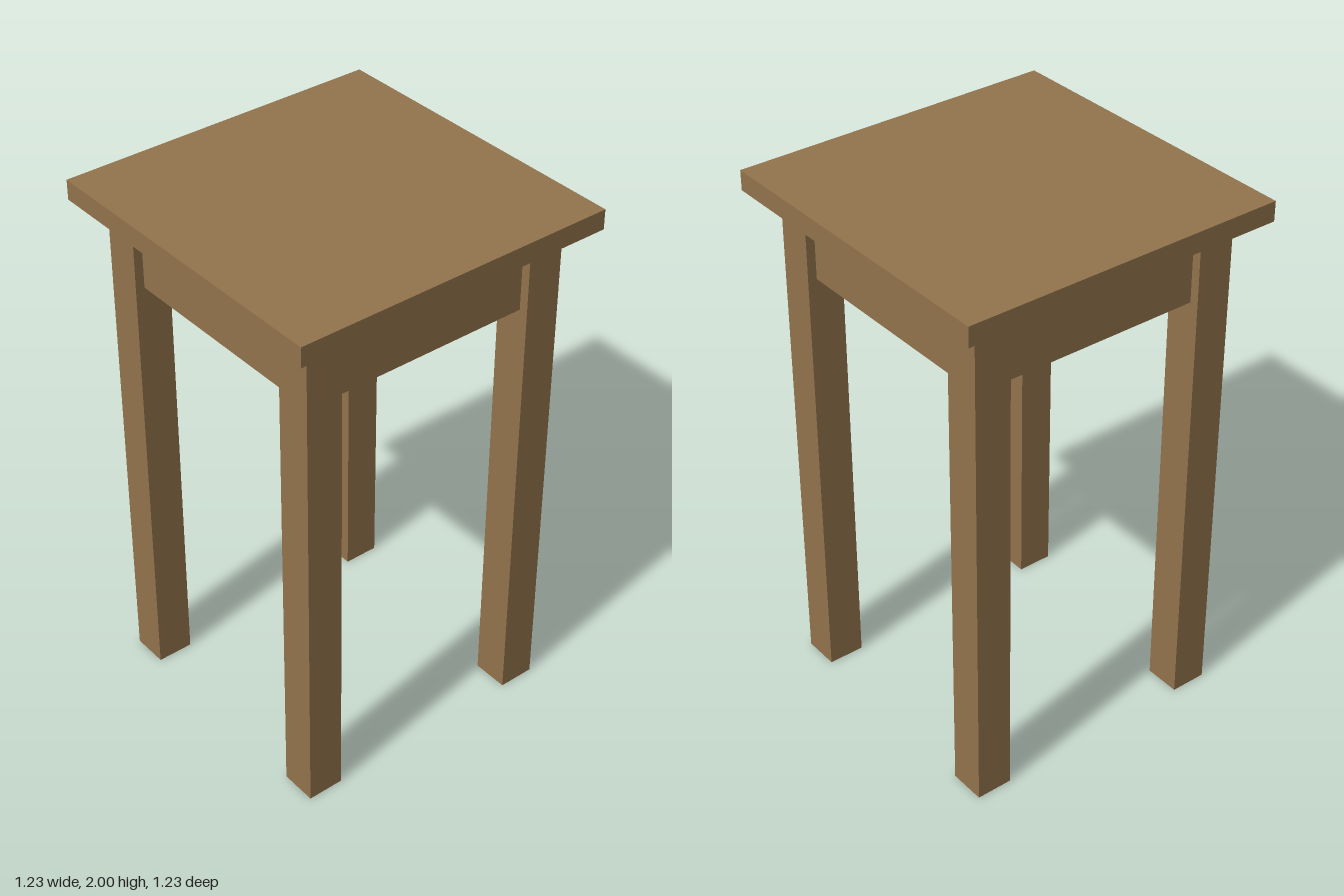
import * as THREE from 'three';

export function createModel() {
  const group = new THREE.Group();
  const wood = new THREE.MeshStandardMaterial({ color: 0x94744d });
  wood.name = 'brown wood';

  const topY = 1.926;      // underside of the top
  const leg = 0.137;       // leg thickness
  const legPos = 0.4535;   // leg centre offset
  const apronH = 0.276;
  const apronT = 0.069;
  const apronL = 2 * legPos - leg;

  function box(name, w, h, d, x, y, z) {
    const mesh = new THREE.Mesh(new THREE.BoxGeometry(w, h, d), wood);
    mesh.name = name;
    mesh.position.set(x, y, z);
    group.add(mesh);
  }

  // Square slab top
  box('tableTop', 1.226, 2 - topY, 1.226, 0, (2 + topY) / 2, 0);

  // Four square legs
  for (const [zName, z] of [['front', 1], ['back', -1]]) {
    for (const [xName, x] of [['Left', 1], ['Right', -1]]) {
      box(zName + xName + 'Leg', leg, topY, leg, x * legPos, topY / 2, z * legPos);
    }
  }

  // Aprons centred between the legs
  const apronY = topY - apronH / 2;
  box('frontApron', apronL, apronH, apronT, 0, apronY, legPos);
  box('backApron', apronL, apronH, apronT, 0, apronY, -legPos);
  box('leftApron', apronT, apronH, apronL, legPos, apronY, 0);
  box('rightApron', apronT, apronH, apronL, -legPos, apronY, 0);

  return group;
}
